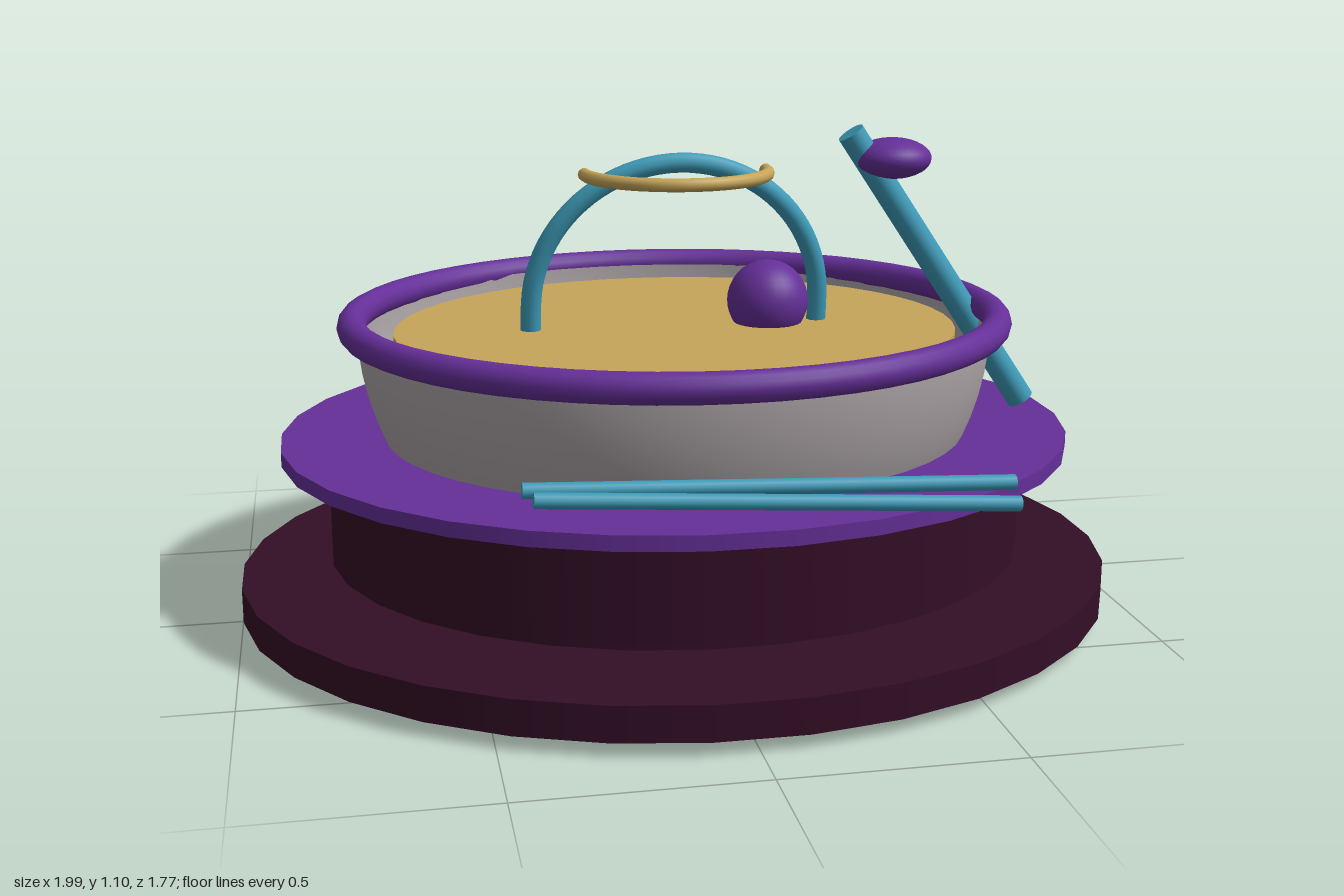
import * as THREE from 'three';

const paint = (name, color, side = THREE.FrontSide) => {
  const m = new THREE.MeshStandardMaterial({ color, side });
  m.name = name;
  return m;
};

export function createModel() {
  const group = new THREE.Group();
  const maroon = paint('dark maroon', 0x330e26);
  const purple = paint('purple', 0x652f98);
  const teal = paint('teal', 0x3d9bb8);
  const gold = paint('gold', 0xc6a559);
  const grey = paint('warm grey', 0xaea6a8, THREE.DoubleSide);
  const DEPTH = 0.89; // the round parts are slightly oval

  const add = (name, geometry, material, x = 0, y = 0, z = 0) => {
    const mesh = new THREE.Mesh(geometry, material);
    mesh.name = name;
    mesh.position.set(x, y, z);
    group.add(mesh);
    return mesh;
  };

  // Oval slab between two heights
  const slab = (name, material, radius, y0, y1) => {
    const g = new THREE.CylinderGeometry(radius, radius, y1 - y0, 32);
    g.rotateY(Math.PI / 32).scale(1, 1, DEPTH);
    return add(name, g, material, 0, (y0 + y1) / 2, 0);
  };

  // Straight round rod between two points
  const rod = (name, material, radius, from, to) => {
    const a = new THREE.Vector3(...from), b = new THREE.Vector3(...to);
    const dir = b.clone().sub(a);
    const mesh = add(name, new THREE.CylinderGeometry(radius, radius, dir.length(), 16), material);
    mesh.position.copy(a).add(b).multiplyScalar(0.5);
    mesh.quaternion.setFromUnitVectors(new THREE.Vector3(0, 1, 0), dir.normalize());
    return mesh;
  };

  // Stand and plate
  slab('base', maroon, 1.0, 0.03, 0.107);
  slab('collar', maroon, 0.797, 0.145, 0.363);
  slab('plate', purple, 0.9, 0.383, 0.416);

  // Bowl, rim and filling
  const bowl = new THREE.SphereGeometry(1, 48, 20, 0, Math.PI * 2, Math.PI / 2, Math.PI / 2);
  bowl.scale(0.72, 0.67, 0.72 * DEPTH);
  add('bowl', bowl, grey, 0, 0.67, 0);
  const rim = new THREE.TorusGeometry(0.731, 0.033, 14, 56);
  rim.rotateX(Math.PI / 2).scale(1, 1, 0.923);
  add('rim', rim, purple, 0, 0.672, 0);
  const filling = new THREE.CylinderGeometry(0.64, 0.64, 0.08, 48).scale(1, 1, DEPTH);
  add('filling', filling, gold, 0, 0.61, 0);

  // Side handles: rings half sunk in the collar
  for (const side of [1, -1]) {
    const handle = new THREE.TorusGeometry(0.25, 0.047, 12, 32).rotateX(Math.PI / 2);
    add(side > 0 ? 'leftHandle' : 'rightHandle', handle, teal, side * 0.55, 0.358, 0);
  }

  // Leaning arch standing in the filling
  const points = [new THREE.Vector3(-0.332, 0.64, -0.008)];
  for (let i = 0; i <= 16; i++) {
    const a = Math.PI * (1 - i / 16);
    points.push(new THREE.Vector3(0.332 * Math.cos(a), 0.7 + 0.328 * Math.sin(a), 0.05 * Math.sin(a)));
  }
  points.push(new THREE.Vector3(0.332, 0.64, -0.008));
  add('arch', new THREE.TubeGeometry(new THREE.CatmullRomCurve3(points), 48, 0.023, 10), teal);

  // Flat half hoop at the top of the arch
  const hoop = new THREE.TorusGeometry(0.207, 0.015, 10, 28, Math.PI).rotateX(Math.PI / 2);
  add('hoop', hoop, gold, 0, 1.0, 0);

  // Ball in the filling
  add('ball', new THREE.SphereGeometry(0.093, 28, 18), purple, 0.215, 0.7, 0);

  // Leaning spoon with a flattened knob
  rod('spoonHandle', teal, 0.032, [0.405, 1.08, 0], [0.84, 0.435, 0]);
  const knob = new THREE.SphereGeometry(1, 28, 18).scale(0.09, 0.047, 0.084);
  add('spoonKnob', knob, purple, 0.505, 1.02, 0);

  // Pair of sticks resting in front of the bowl
  rod('backStick', teal, 0.016, [-0.43, 0.487, 0.677], [0.57, 0.447, 0.677]);
  rod('frontStick', teal, 0.016, [-0.415, 0.487, 0.742], [0.558, 0.423, 0.742]);

  return group;
}
